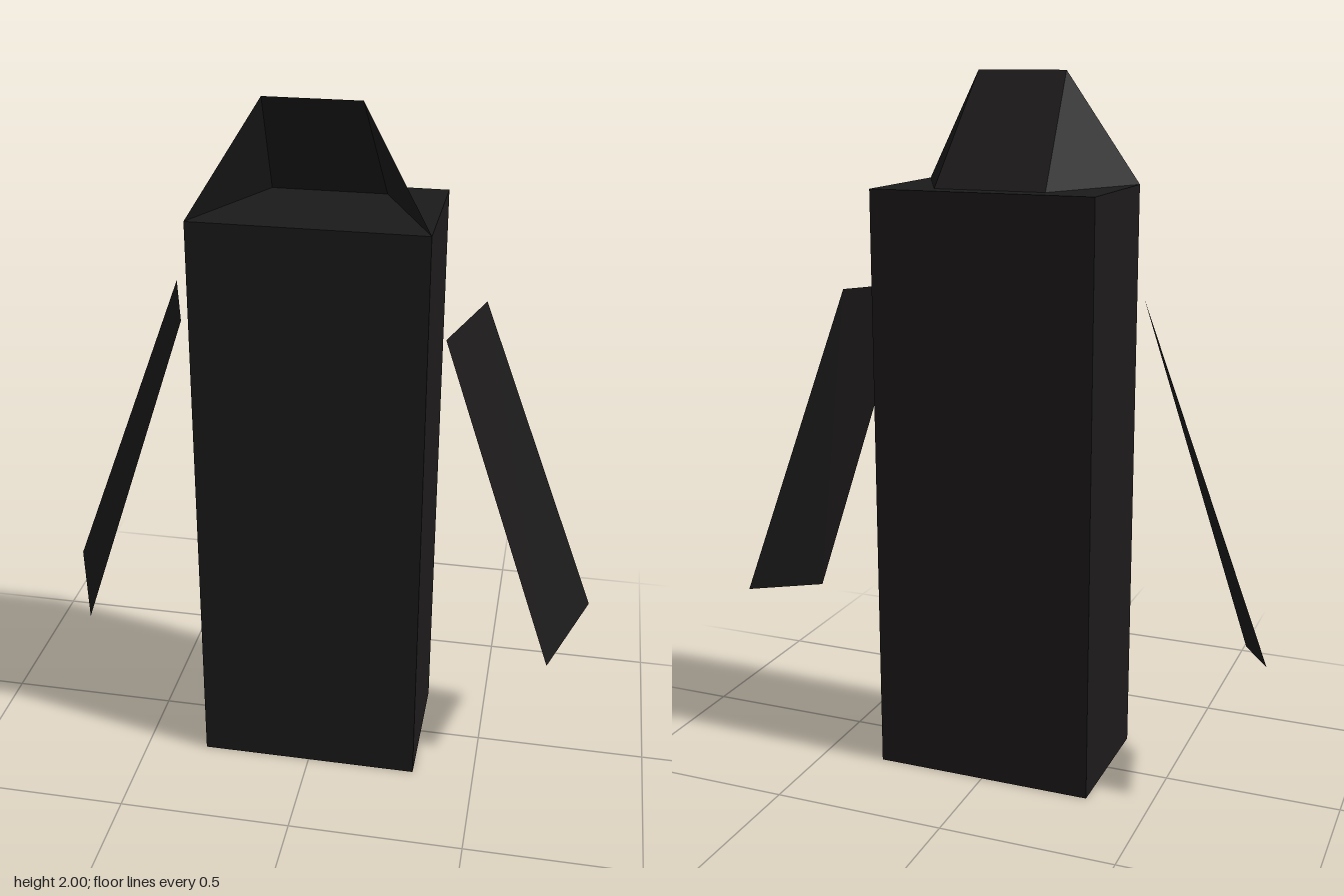
import * as THREE from 'three';

const solid = new THREE.MeshStandardMaterial({ color: 0x1c1a1b });
const sheet = new THREE.MeshStandardMaterial({ color: 0x1c1a1b, side: THREE.DoubleSide });

// Flat-shaded open surface from polygons, each a convex loop of corners seen from outside
function panels(name, polygons) {
  const points = [];
  for (const p of polygons) {
    for (let i = 1; i < p.length - 1; i++) points.push(...p[0], ...p[i], ...p[i + 1]);
  }
  const geometry = new THREE.BufferGeometry();
  geometry.setAttribute('position', new THREE.Float32BufferAttribute(points, 3));
  geometry.computeVertexNormals();
  const mesh = new THREE.Mesh(geometry, sheet);
  mesh.name = name;
  return mesh;
}

// Mirrors a polygon across x = 0, keeping it facing outward
const mirror = (polygon) => polygon.map(([x, y, z]) => [-x, y, z]).reverse();

export function createModel() {
  const model = new THREE.Group();
  model.name = 'robe';

  // Robe body
  const body = new THREE.Mesh(new THREE.BoxGeometry(0.64, 1.69, 0.4), solid);
  body.name = 'body';
  body.position.y = 0.845;
  model.add(body);

  // Hood, open at the front: sloping back panel and two triangular sides
  const peak = [0.13, 2, 0.115];
  const rear = [0.16, 1.69, -0.13];
  const front = [0.32, 1.69, 0.2];
  const flip = ([x, y, z]) => [-x, y, z];
  const side = [peak, front, rear];
  model.add(panels('hood', [[peak, rear, flip(rear), flip(peak)], side, mirror(side)]));

  // Thin sleeves hanging away from the body
  const sleeve = [
    [0.69, 0.39, 0.13],
    [0.80, 0.45, -0.13],
    [0.445, 1.40, -0.13],
    [0.36, 1.385, 0.13],
  ];
  model.add(panels('leftSleeve', [sleeve]));
  model.add(panels('rightSleeve', [mirror(sleeve)]));

  return model;
}
